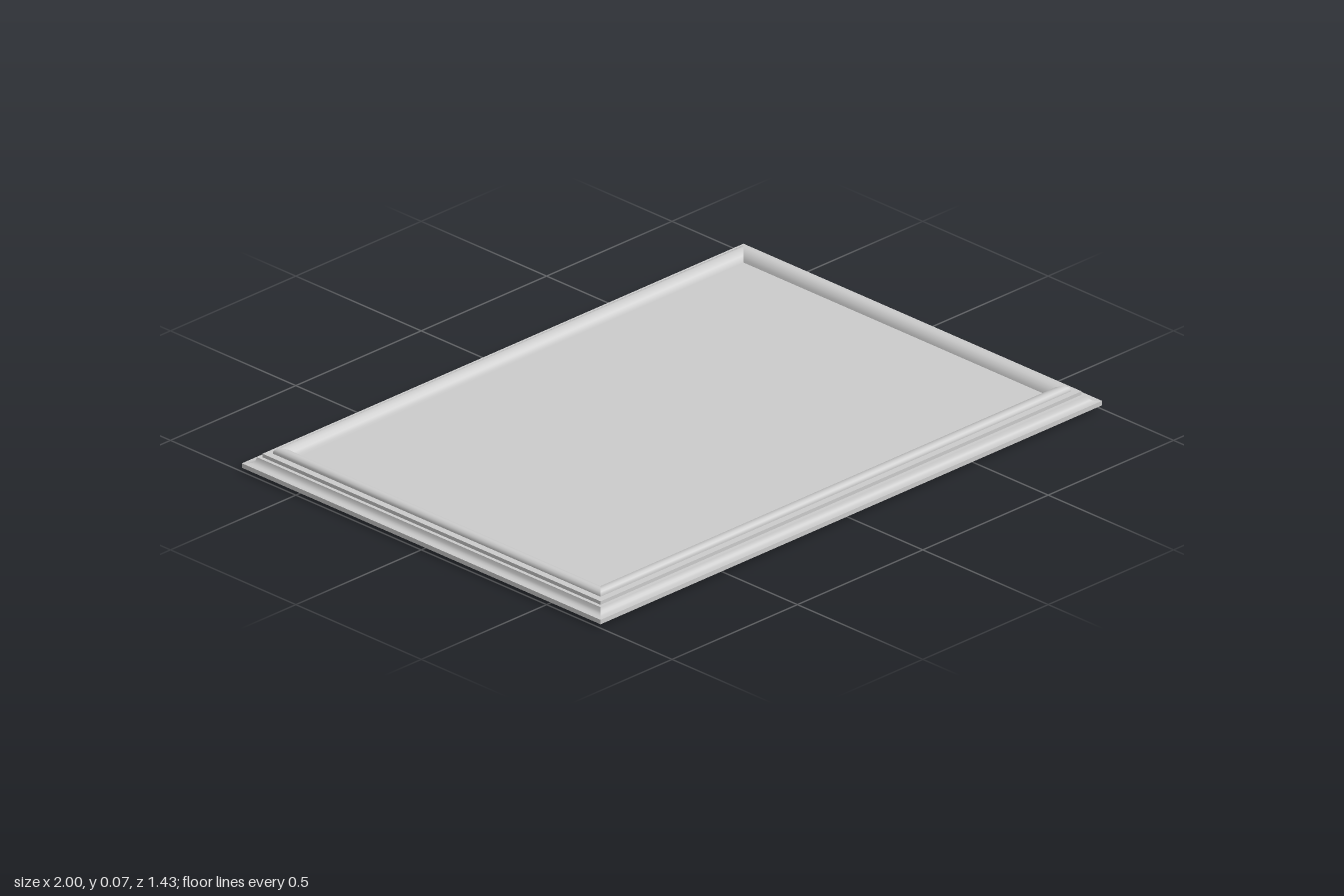
import * as THREE from 'three';
import { toCreasedNormals } from 'three/addons/utils/BufferGeometryUtils.js';

const HALF_X = 1, HALF_Z = 0.715;
const material = new THREE.MeshStandardMaterial({ color: 0xcccccc });

// Moulding section: [inset from the outer edge, height], from the back recess round to the sight edge
const PROFILE = [
  [0.15, 0.017], [0.15, 0.012], [0, 0.012], [0, 0.026], [0.016, 0.026],
  [0.022, 0.029], [0.027, 0.034], [0.03, 0.045], [0.041, 0.045], [0.041, 0.056],
  [0.062, 0.056], [0.062, 0.062], [0.066, 0.068], [0.073, 0.072], [0.08, 0.072],
  [0.092, 0.069], [0.102, 0.061], [0.108, 0.052], [0.111, 0.043],
];
const CORNERS = [[1, 1], [1, -1], [-1, -1], [-1, 1]];

function addMesh(parent, name, geometry) {
  const mesh = new THREE.Mesh(geometry, material);
  mesh.name = name;
  parent.add(mesh);
  return mesh;
}

// Box given by its size, centre and vertical extent
function addBox(parent, name, width, depth, y0, y1, x = 0, z = 0) {
  const geometry = new THREE.BoxGeometry(width, y1 - y0, depth);
  return addMesh(parent, name, geometry.translate(x, (y0 + y1) / 2, z));
}

// One mitred length of moulding between two neighbouring corners
function mouldingSide(k) {
  const point = ([inset, y], corner) => {
    const [sx, sz] = CORNERS[corner % 4];
    return [sx * (HALF_X - inset), y, sz * (HALF_Z - inset)];
  };
  const positions = [];
  for (let i = 0; i < PROFILE.length - 1; i++) {
    const a = point(PROFILE[i], k), b = point(PROFILE[i], k + 1);
    const c = point(PROFILE[i + 1], k), d = point(PROFILE[i + 1], k + 1);
    positions.push(...a, ...b, ...c, ...b, ...d, ...c);
  }
  const geometry = new THREE.BufferGeometry();
  geometry.setAttribute('position', new THREE.Float32BufferAttribute(positions, 3));
  return toCreasedNormals(geometry, 0.6);
}

// Bent metal strap with end tabs and a toothed edge
function createHanger() {
  const hanger = new THREE.Group();
  hanger.name = 'hanger';

  for (const side of [-1, 1]) {
    addBox(hanger, 'hangerTab', 0.05, 0.045, 0.008, 0.017, side * 0.295, 0.372);
  }

  const half = [[0.275, 0.008], [0.255, 0], [-0.255, 0], [-0.275, 0.008]];
  const outline = [...half, ...half.map(([x, y]) => [x, y + 0.004]).reverse()];
  const strap = new THREE.Shape(outline.map(([x, y]) => new THREE.Vector2(x, y)));
  const strapGeometry = new THREE.ExtrudeGeometry(strap, { depth: 0.025, bevelEnabled: false });
  addMesh(hanger, 'hangerStrap', strapGeometry.translate(0, 0, 0.362));

  // Row of teeth, drawn flat and laid down
  const teeth = new THREE.Shape();
  const count = 25, start = -0.25, pitch = 0.02;
  teeth.moveTo(start, 0);
  for (let i = 0; i < count; i++) {
    teeth.lineTo(start + (i + 0.5) * pitch, 0.011);
    teeth.lineTo(start + (i + 1) * pitch, 0);
  }
  teeth.lineTo(-start, -0.003);
  teeth.lineTo(start, -0.003);
  const teethGeometry = new THREE.ExtrudeGeometry(teeth, { depth: 0.004, bevelEnabled: false });
  teethGeometry.rotateX(-Math.PI / 2).translate(0, 0, 0.362);
  addMesh(hanger, 'hangerTeeth', teethGeometry);
  return hanger;
}

export function createModel() {
  const model = new THREE.Group();
  model.name = 'pictureFrame';

  // Four mitred sides
  const frame = new THREE.Group();
  frame.name = 'frame';
  for (let k = 0; k < 4; k++) addMesh(frame, 'frameSide', mouldingSide(k));
  model.add(frame);

  // Picture surface and the board behind it
  addBox(model, 'picturePanel', 1.778, 1.208, 0.03, 0.045);
  addBox(model, 'backBoard', 1.7, 1.13, 0.016, 0.03);

  // Retaining clips at the middle of each side of the back
  for (const side of [-1, 1]) {
    addBox(model, 'backClip', 0.05, 0.05, 0.0115, 0.017, side * 0.84, 0);
    addBox(model, 'backClip', 0.05, 0.05, 0.0115, 0.017, 0, side * 0.555);
  }

  model.add(createHanger());
  return model;
}
